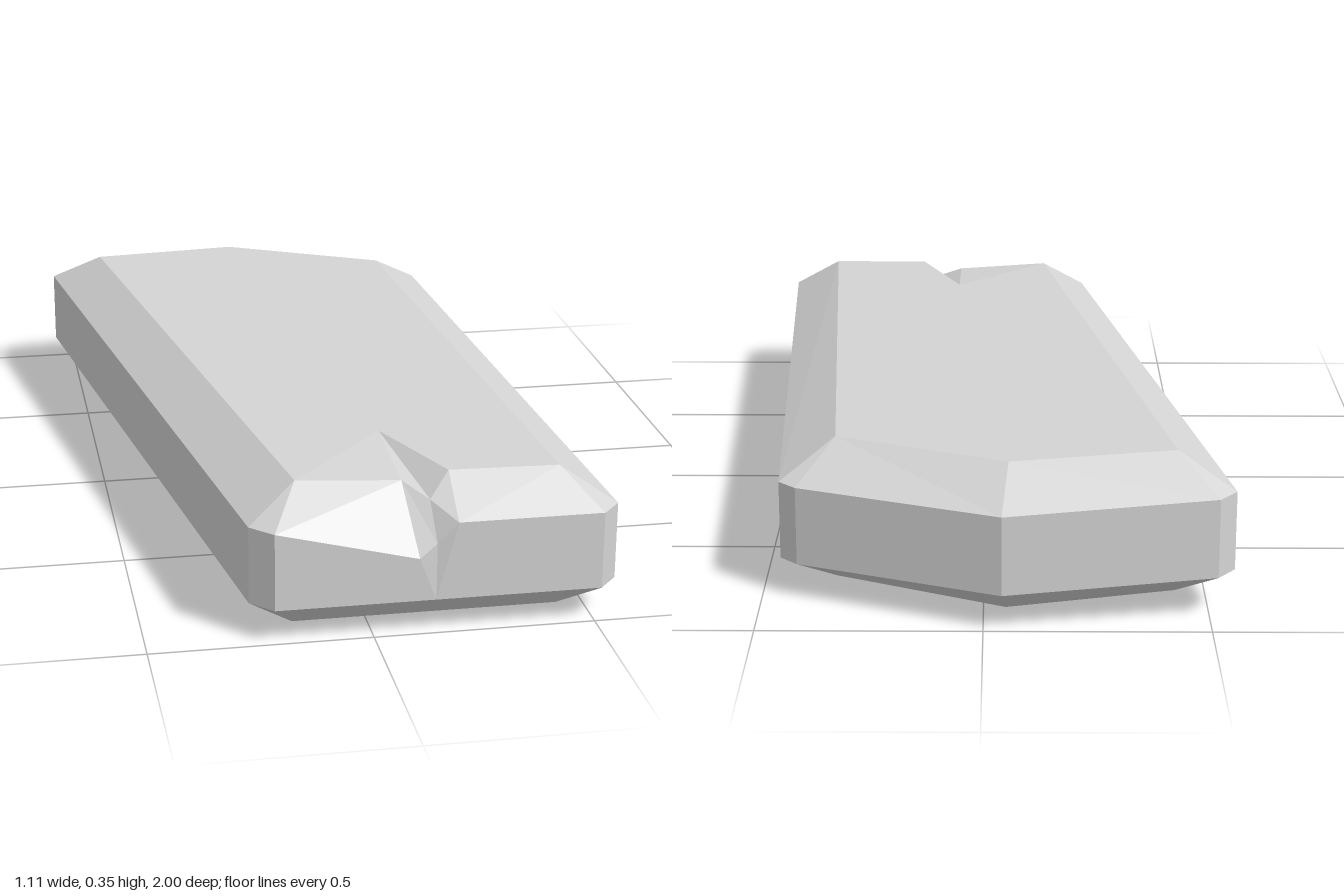
import * as THREE from 'three';

const V = (x, y, z) => new THREE.Vector3(x, y, z);
const CENTRE = V(0, 0.17, 0);

// Fans a polygon from its first corner, turning each triangle outward.
function addFace(out, ...p) {
  for (let i = 1; i < p.length - 1; i++) {
    let [a, b, c] = [p[0], p[i], p[i + 1]];
    const n = b.clone().sub(a).cross(c.clone().sub(a));
    const mid = a.clone().add(b).add(c).divideScalar(3).sub(CENTRE);
    if (n.dot(mid) < 0) [b, c] = [c, b];
    for (const v of [a, b, c]) out.push(v.x, v.y, v.z);
  }
}

export function createModel() {
  const stone = new THREE.MeshStandardMaterial({ color: 0xd4d4d4 });
  stone.name = 'pale stone grey';
  const out = [];

  // Outline: x, z, height of lower and upper rim, index of the inner corner
  const outline = [
    [-0.557, -0.875, 0.097, 0.28, 0], [-0.517, -0.922, 0.095, 0.278, 0],
    [-0.04, -1, 0.083, 0.265, 1],
    [0.42, -0.81, 0.08, 0.262, 2], [0.46, -0.77, 0.08, 0.262, 2],
    [0.557, 0.95, 0.08, 0.26, 3], [0.513, 1, 0.08, 0.26, 3],
    [-0.22, 1, 0.08, 0.26, 4], [-0.27, 0.95, 0.08, 0.26, 4],
  ];
  const low = outline.map(([x, z, y]) => V(x, y, z));
  const high = outline.map(([x, z, , y]) => V(x, y, z));
  const inner = outline.map((o) => o[4]);
  const top = [V(-0.43, 0.352, -0.805), V(-0.055, 0.345, -0.865), V(0.337, 0.34, -0.68),
    V(0.435, 0.338, 0.897), V(-0.158, 0.336, 0.885)];
  const bottom = [V(-0.43, 0.018, -0.805), V(-0.05, 0.005, -0.875), V(0.337, 0, -0.68),
    V(0.44, 0, 0.89), V(-0.165, 0, 0.89)];

  // Side walls and bevels; the upper front is left open for the crack
  const FRONT = 6;
  for (let i = 0; i < outline.length; i++) {
    const j = (i + 1) % outline.length;
    const [a, b] = [inner[i], inner[j]];
    addFace(out, low[i], low[j], bottom[b], ...(a === b ? [] : [bottom[a]]));
    if (i === FRONT) continue;
    addFace(out, low[i], low[j], high[j], high[i]);
    addFace(out, high[i], high[j], top[b], ...(a === b ? [] : [top[a]]));
  }
  addFace(out, ...bottom);

  // Crack corners
  const tip = V(0.08, 0.34, 0.63);
  const topL = V(0.08, 0.32, 0.885), topR = V(0.185, 0.339, 0.888);
  const rimL = V(0.1, 0.18, 1), rimR = V(0.185, 0.26, 1);
  const floorTop = V(0.135, 0.29, 0.932), floorRim = V(0.14, 0.21, 0.992);
  const foot = V(0.138, 0.08, 1);

  // Top surface fans out from the crack's tip
  addFace(out, tip, topL, top[4], top[0], top[1], top[2], top[3], topR);

  // Front wall and bevels on both sides of the crack
  addFace(out, low[7], foot, rimL, high[7]);
  addFace(out, high[7], rimL, topL, top[4]);
  addFace(out, foot, low[6], high[6], rimR);
  addFace(out, rimR, high[6], top[3], topR);

  // Crack walls
  addFace(out, tip, topL, floorTop);
  addFace(out, topL, rimL, floorRim, floorTop);
  addFace(out, rimL, foot, floorRim);
  addFace(out, tip, floorTop, topR);
  addFace(out, floorTop, floorRim, rimR, topR);
  addFace(out, floorRim, foot, rimR);

  // Unshared corners keep every facet flat
  const geometry = new THREE.BufferGeometry();
  geometry.setAttribute('position', new THREE.Float32BufferAttribute(out, 3));
  geometry.computeVertexNormals();
  const slab = new THREE.Mesh(geometry, stone);
  slab.name = 'crackedStoneSlab';

  const group = new THREE.Group();
  group.name = 'stoneSlab';
  group.add(slab);
  return group;
}
